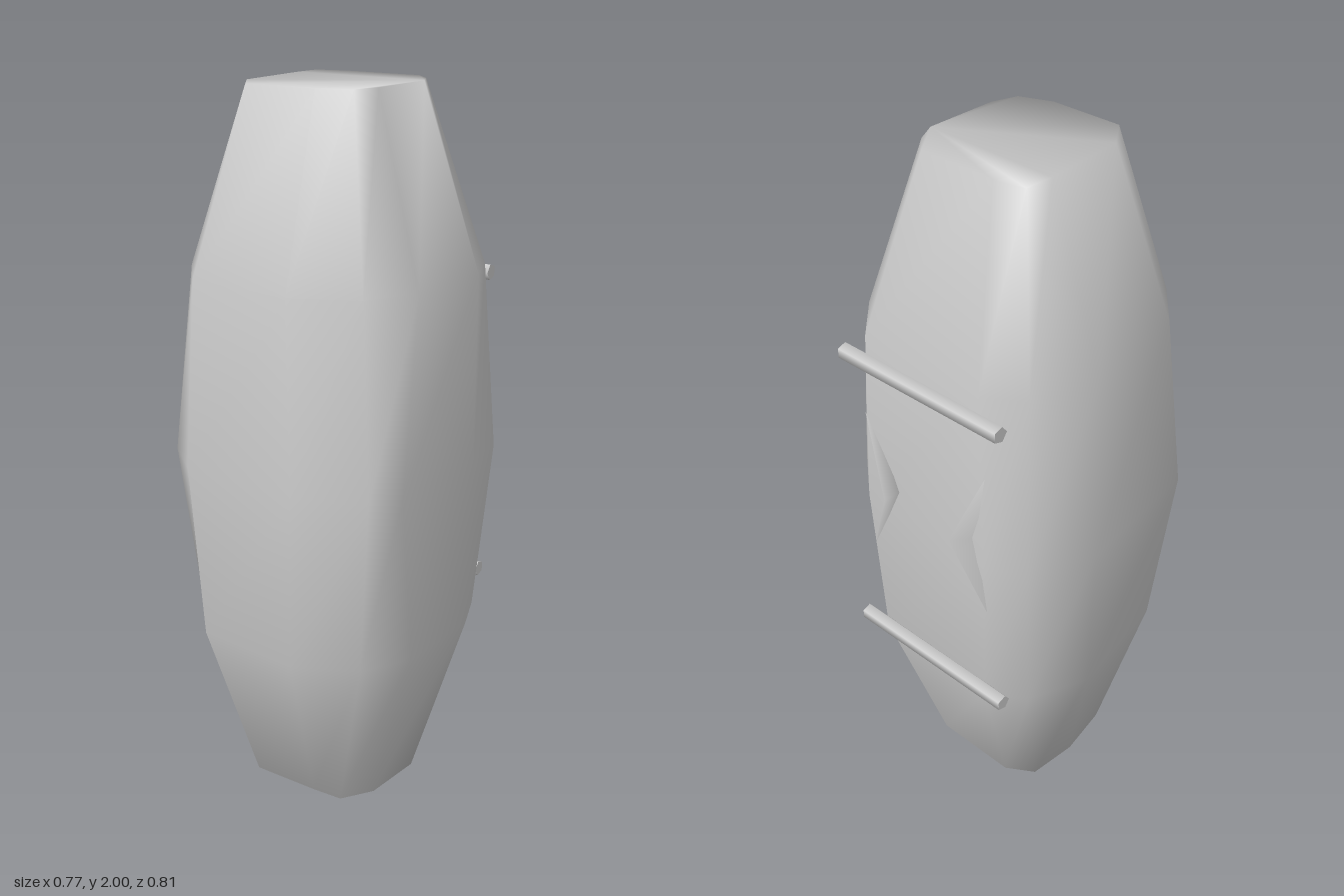
import * as THREE from 'three';

const material = new THREE.MeshStandardMaterial({ color: 0xcccccc, side: THREE.DoubleSide });

function makeMesh(name, positions, index) {
  const g = new THREE.BufferGeometry();
  g.setAttribute('position', new THREE.Float32BufferAttribute(positions, 3));
  g.setIndex(index);
  g.computeVertexNormals();
  const m = new THREE.Mesh(g, material);
  m.name = name;
  return m;
}

// Uneven rounded-square cross-sections, as x, z pairs running from +x round by +z
const bottom = [0.24, -0.05, 0.22, 0.13, 0.16, 0.215, 0.07, 0.22, -0.13, 0.22, -0.19, 0.16,
  -0.215, 0, -0.2, -0.15, -0.12, -0.2, 0.14, -0.2, 0.2, -0.15];
const shoulder = [0.38, -0.1, 0.36, 0.17, 0.28, 0.3, 0.11, 0.385, -0.2, 0.36, -0.31, 0.23,
  -0.36, -0.11, -0.285, -0.28, -0.18, -0.345, 0.22, -0.34, 0.335, -0.22];
const middle = [0.385, -0.1, 0.37, 0.245, 0.32, 0.33, 0.13, 0.405, -0.23, 0.375, -0.35, 0.275,
  -0.387, -0.13, -0.31, -0.31, -0.2, -0.36, 0.24, -0.355, 0.375, -0.24];
const top = [0.21, -0.09, 0.205, 0.12, 0.18, 0.19, 0.09, 0.225, -0.12, 0.225, -0.18, 0.14,
  -0.19, -0.1, -0.185, -0.18, -0.1, -0.2, 0.13, -0.2, 0.18, -0.15];

// Barrel-shaped body lofted through the sections, with capped ends
function makeBody() {
  const rings = [[0, bottom], [0.5, shoulder], [1, middle], [1.52, shoulder], [2, top]];
  const n = bottom.length / 2;
  const positions = [], index = [];
  for (const [y, ring] of rings) {
    for (let i = 0; i < n; i++) positions.push(ring[2 * i], y, ring[2 * i + 1]);
  }
  for (let r = 0; r < rings.length - 1; r++) {
    for (let i = 0; i < n; i++) {
      const a = r * n + i, b = r * n + (i + 1) % n;
      index.push(a, a + n, b, b, a + n, b + n);
    }
  }
  const t = (rings.length - 1) * n;
  for (let i = 1; i < n - 1; i++) {
    index.push(0, i, i + 1, t, t + i + 1, t + i);
  }
  return makeMesh('body', positions, index);
}

// Pointed chevron with a raised ridge, its apex turned to the middle
function makeChevron(side) {
  const positions = [
    0.215, 1.3, -0.365,   // upper tip
    0.215, 0.85, -0.365,  // lower tip
    0.12, 1.075, -0.405,  // ridge
    0.115, 1.075, -0.35,  // inner foot
    0.165, 1.075, -0.35,  // outer foot
  ].map((v, i) => (i % 3 === 0 ? v * side : v));
  const index = [0, 2, 3, 0, 4, 2, 1, 3, 2, 1, 2, 4];
  if (side < 0) index.reverse();
  return makeMesh(side > 0 ? 'leftChevron' : 'rightChevron', positions, index);
}

// Slim crossbar lying against the back
function makeBar(name, y) {
  const bar = new THREE.Mesh(new THREE.CylinderGeometry(0.023, 0.023, 0.55, 5), material);
  bar.name = name;
  bar.rotation.z = Math.PI / 2;
  bar.position.set(0.006, y, -0.364);
  return bar;
}

export function createModel() {
  const model = new THREE.Group();
  model.name = 'model';
  model.add(makeBody(), makeChevron(1), makeChevron(-1));
  model.add(makeBar('upperBar', 1.46), makeBar('lowerBar', 0.54));
  return model;
}
